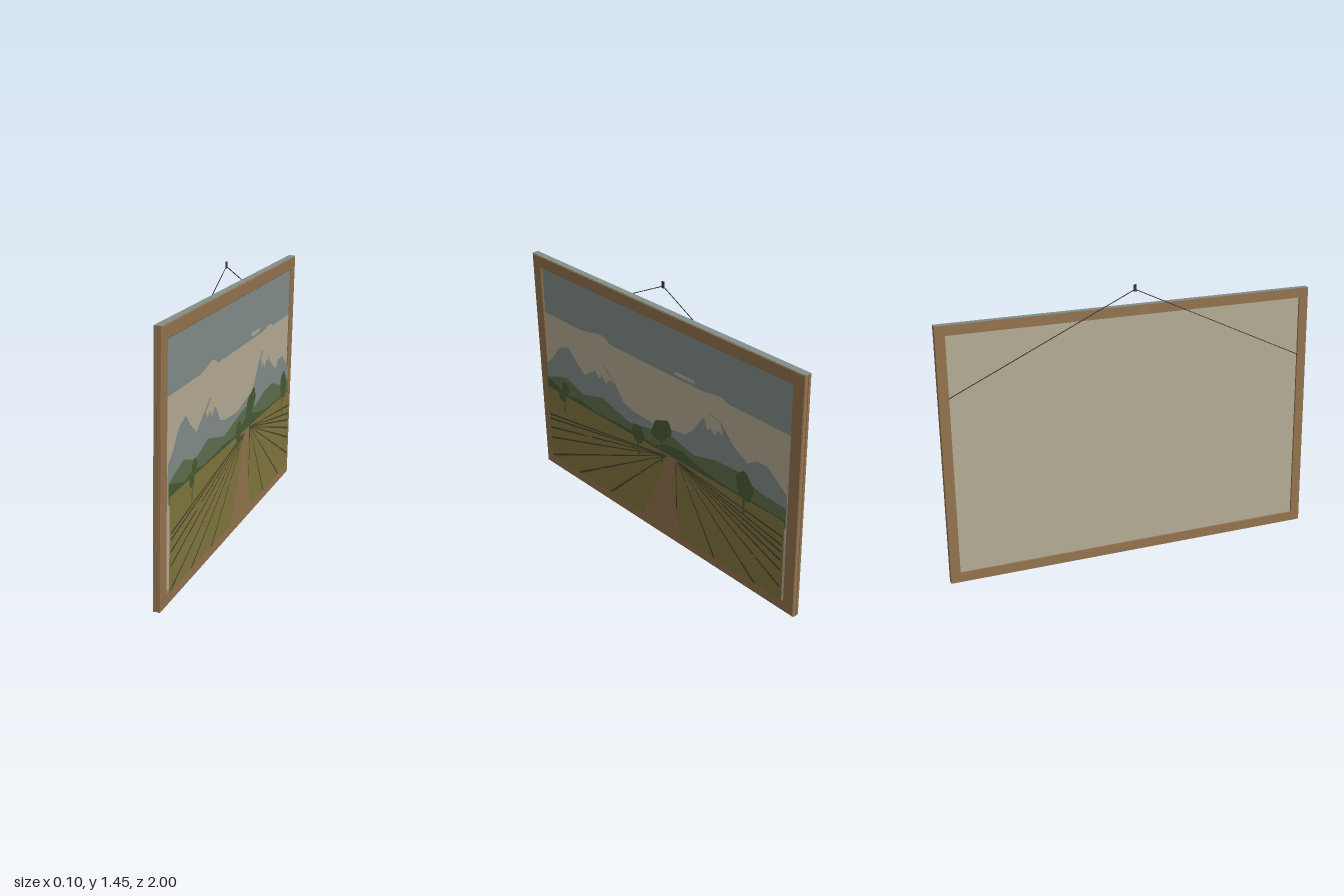
import * as THREE from 'three';

const mat = (name, color) => {
  const m = new THREE.MeshStandardMaterial({ color, side: THREE.DoubleSide });
  m.name = name;
  return m;
};

export function createModel() {
  const wood = mat('wood', 0x94744f);
  const sky = mat('greyBlue', 0x838e89);
  const cream = mat('cream', 0xb6ad95);
  const hillGreen = mat('hillGreen', 0x61704f);
  const leafGreen = mat('leafGreen', 0x495c34);
  const fieldOlive = mat('fieldOlive', 0x82773f);
  const furrow = mat('furrowBrown', 0x4c4530);
  const trunkGrey = mat('trunkGrey', 0x4a574e);
  const iron = mat('iron', 0x3a3633);

  // The picture is built facing +z, standing on y = 0, then turned to face +x
  const picture = new THREE.Group();
  picture.name = 'picture';

  const add = (name, geometry, material, x = 0, y = 0, z = 0) => {
    const m = new THREE.Mesh(geometry, material);
    m.name = name;
    m.position.set(x, y, z);
    picture.add(m);
    return m;
  };
  const shapeOf = pts => new THREE.Shape(pts.map(p => new THREE.Vector2(p[0], p[1])));
  const plate = (name, pts, material, depth) =>
    add(name, new THREE.ShapeGeometry(shapeOf(pts)), material, 0, 0, depth);
  const rect = (x0, y0, x1, y1) => [[x0, y0], [x1, y0], [x1, y1], [x0, y1]];

  // Frame: two stacked rings, the back one with the wider opening
  const ring = (name, edge, rail, z, depth, bevel) => {
    const s = shapeOf(rect(-1 + edge + bevel, edge + bevel, 1 - edge - bevel, 1.335 - edge - bevel));
    const r = rail - bevel;
    s.holes.push(new THREE.Path(rect(-1 + r, r, 1 - r, 1.335 - r).reverse().map(p => new THREE.Vector2(...p))));
    const g = new THREE.ExtrudeGeometry(s, {
      depth: depth - 2 * bevel, bevelEnabled: bevel > 0, bevelSize: bevel, bevelThickness: bevel, bevelSegments: 1,
    });
    add(name, g, wood, 0, 0, z + bevel);
  };
  ring('frameBack', 0, 0.05, 0, 0.014, 0);
  ring('frameFront', 0, 0.07, 0.014, 0.024, 0.004);
  add('frameTopFace', new THREE.BoxGeometry(2, 0.002, 0.036), sky, 0, 1.3355, 0.018);

  // Backing board and painted sky
  add('backingBoard', new THREE.BoxGeometry(1.92, 1.25, 0.008), cream, 0, 0.667, 0.014);
  plate('lowerSky', rect(-0.93, 0.07, 0.93, 1.0), cream, 0.03);
  plate('upperSky', rect(-0.93, 1.0, 0.93, 1.27), sky, 0.03);

  // Mountains with snow caps
  plate('mountains', [[-0.93, 0.5], [-0.93, 0.69], [-0.88, 0.73], [-0.8, 0.83], [-0.72, 0.86], [-0.66, 0.8],
    [-0.58, 0.74], [-0.52, 0.78], [-0.4, 0.86], [-0.31, 0.78], [-0.25, 0.7], [-0.17, 0.68], [0.02, 0.67],
    [0.15, 0.7], [0.23, 0.71], [0.28, 0.75], [0.36, 0.86], [0.41, 0.905], [0.49, 0.885], [0.58, 0.79],
    [0.67, 0.74], [0.73, 0.78], [0.8, 0.78], [0.93, 0.68], [0.93, 0.5]], sky, 0.04);
  plate('snowCapLeft', [[-0.4, 0.862], [-0.31, 0.785], [-0.355, 0.8], [-0.385, 0.76], [-0.42, 0.8],
    [-0.445, 0.77], [-0.475, 0.805]], cream, 0.046);
  plate('snowCapRight', [[0.41, 0.907], [0.49, 0.887], [0.51, 0.82], [0.475, 0.84], [0.445, 0.8],
    [0.425, 0.835], [0.4, 0.81], [0.375, 0.87]], cream, 0.046);

  // Two ranges of hills
  plate('farHills', [[-0.93, 0.5], [-0.93, 0.6], [-0.85, 0.63], [-0.75, 0.66], [-0.6, 0.61], [-0.43, 0.66],
    [-0.2, 0.6], [0, 0.64], [0.13, 0.66], [0.3, 0.62], [0.45, 0.66], [0.6, 0.67], [0.75, 0.62],
    [0.93, 0.61], [0.93, 0.5]], hillGreen, 0.044);
  plate('nearHills', [[-0.93, 0.5], [-0.93, 0.6], [-0.85, 0.58], [-0.75, 0.55], [-0.63, 0.57], [-0.5, 0.545],
    [-0.2, 0.56], [0, 0.55], [0.1, 0.595], [0.2, 0.61], [0.35, 0.57], [0.5, 0.55], [0.93, 0.545],
    [0.93, 0.5]], leafGreen, 0.047);

  // Field, path and converging furrows
  plate('field', rect(-0.93, 0.07, 0.93, 0.54), fieldOlive, 0.05);
  plate('path', [[-0.09, 0.07], [0.115, 0.53], [0.18, 0.54], [0.14, 0.4], [0.21, 0.07]], wood, 0.055);
  const strip = (name, x0, y0, x1, y1, w0, w1, material, depth) => {
    const l = Math.hypot(x1 - x0, y1 - y0), nx = -(y1 - y0) / l, ny = (x1 - x0) / l;
    plate(name, [[x0 + nx * w0, y0 + ny * w0], [x0 - nx * w0, y0 - ny * w0],
      [x1 - nx * w1, y1 - ny * w1], [x1 + nx * w1, y1 + ny * w1]], material, depth);
  };
  const leftEnds = [[-0.92, 0.36], [-0.92, 0.33], [-0.92, 0.27], [-0.92, 0.2], [-0.92, 0.08], [-0.66, 0.075], [-0.38, 0.075]];
  const rightEnds = [[0.92, 0.45], [0.92, 0.4], [0.92, 0.36], [0.92, 0.31], [0.92, 0.25], [0.92, 0.15], [0.75, 0.075], [0.46, 0.075]];
  for (const [x, y] of leftEnds) strip('furrow', 0.1, 0.53, x, y, 0.002, 0.006, furrow, 0.053);
  for (const [x, y] of rightEnds) strip('furrow', 0.19, 0.535, x, y, 0.002, 0.006, furrow, 0.053);
  strip('pathEdge', 0.18, 0.53, 0.18, 0.24, 0.003, 0.003, furrow, 0.057);

  // Brush strokes
  for (const [x, y, w] of [[-0.83, 1.25, 0.11], [-0.22, 1.13, 0.09], [-0.12, 1.095, 0.23]])
    strip('skyStroke', x - w / 2, y, x + w / 2, y, 0.005, 0.004, sky, 0.045);
  for (const [x, y, w] of [[-0.57, 0.36, 0.09], [-0.57, 0.29, 0.1], [-0.4, 0.2, 0.1], [-0.17, 0.32, 0.12],
    [0.28, 0.43, 0.1], [0.4, 0.3, 0.1], [0.28, 0.21, 0.12], [0.75, 0.24, 0.1], [0.79, 0.155, 0.1]])
    strip('fieldStroke', x - w / 2, y, x + w / 2, y + 0.01, 0.007, 0.005, fieldOlive, 0.056);

  // Clouds
  const blob = (cx, cy, rx, ry, bumps, amount, lean = 0) => {
    const pts = [];
    for (let i = 0; i < 32; i++) {
      const a = i / 32 * Math.PI * 2, r = 1 + amount * Math.sin(a * bumps + 1);
      pts.push([cx + rx * r * Math.cos(a) + lean * Math.sin(a), cy + ry * r * Math.sin(a)]);
    }
    return pts;
  };
  plate('cloudLeft', blob(-0.435, 0.97, 0.16, 0.072, 5, 0.1), cream, 0.052);
  plate('cloudMiddle', blob(-0.075, 0.918, 0.088, 0.036, 3, 0.04), cream, 0.052);
  plate('cloudRight', blob(0.46, 0.985, 0.16, 0.045, 5, 0.1), cream, 0.052);
  plate('cloudRightTail', blob(0.28, 0.955, 0.11, 0.03, 3, 0.1), cream, 0.051);
  plate('cloudWisp', rect(0.175, 1.033, 0.315, 1.052), cream, 0.052);

  // Trees stand well forward of the painted ground
  const trunk = (x, y0, y1, w) => plate('trunk', rect(x - w, y0, x + w, y1), trunkGrey, 0.08);
  const crown = (...a) => plate('treeCrown', blob(...a), leafGreen, 0.083);
  trunk(-0.73, 0.45, 0.58, 0.005);
  crown(-0.71, 0.62, 0.034, 0.037, 5, 0.06);
  crown(-0.742, 0.555, 0.032, 0.03, 5, 0.06);
  trunk(-0.09, 0.45, 0.57, 0.006);
  crown(-0.088, 0.597, 0.048, 0.054, 6, 0.05);
  trunk(0.1, 0.5, 0.65, 0.006);
  crown(0.1, 0.695, 0.068, 0.072, 5, 0.07, 0.035);
  trunk(0.69, 0.47, 0.6, 0.007);
  crown(0.695, 0.64, 0.055, 0.08, 5, 0.06, -0.01);

  // Hanging wire and nail
  for (const side of [-1, 1]) {
    const wire = new THREE.LineCurve3(new THREE.Vector3(0, 1.425, -0.033), new THREE.Vector3(side * 0.96, 0.97, 0.002));
    add('hangingWire', new THREE.TubeGeometry(wire, 1, 0.0022, 6), iron);
  }
  add('nail', new THREE.BoxGeometry(0.014, 0.035, 0.007), iron, 0, 1.432, -0.033);

  // Turn to face +x and lean slightly forward
  picture.rotation.y = Math.PI / 2;
  const lean = new THREE.Group();
  lean.name = 'leaningPicture';
  lean.add(picture);
  lean.rotation.z = -0.025;
  lean.position.set(-0.053, 0.001, 0);

  const model = new THREE.Group();
  model.name = 'framedLandscape';
  model.add(lean);
  return model;
}
